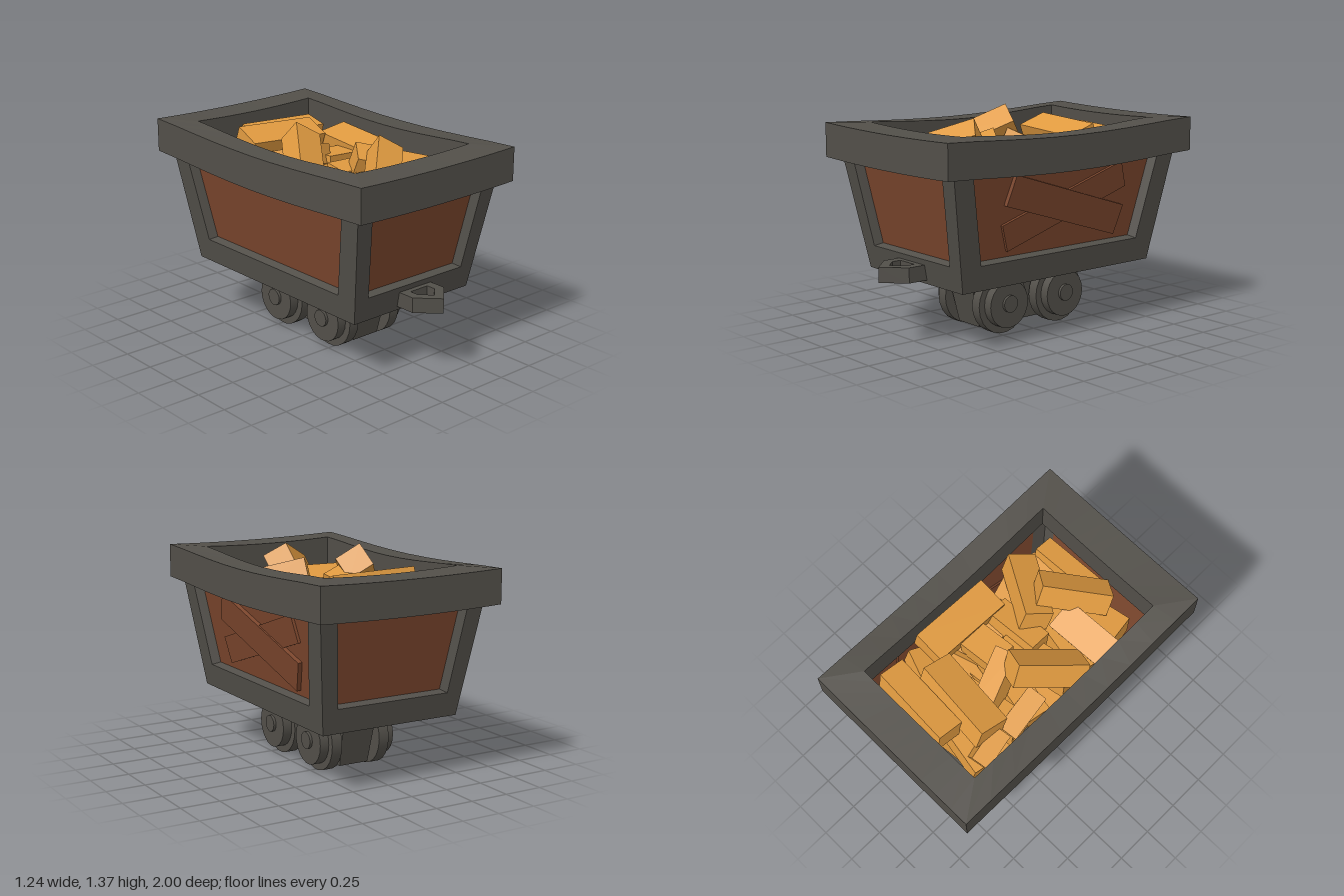
import * as THREE from 'three';

const mat = (name, color, side = THREE.FrontSide) => {
  const m = new THREE.MeshStandardMaterial({ color, side });
  m.name = name;
  return m;
};
const lerp = THREE.MathUtils.lerp;

// Flat quads joining successive closed loops of points
function strip(loops) {
  const pos = [];
  for (let k = 0; k < loops.length - 1; k++) {
    const a = loops[k], b = loops[k + 1], n = a.length;
    for (let i = 0; i < n; i++) {
      const j = (i + 1) % n;
      pos.push(...a[i], ...a[j], ...b[j], ...a[i], ...b[j], ...b[i]);
    }
  }
  const g = new THREE.BufferGeometry();
  g.setAttribute('position', new THREE.Float32BufferAttribute(pos, 3));
  g.computeVertexNormals();
  return g;
}

// Box whose bottom is narrower than its top
function taperedBox(w, h, d, sx, sz) {
  const g = new THREE.BoxGeometry(w, h, d).toNonIndexed();
  const p = g.attributes.position;
  for (let i = 0; i < p.count; i++) {
    if (p.getY(i) < 0) p.setXYZ(i, p.getX(i) * sx, p.getY(i), p.getZ(i) * sz);
  }
  g.computeVertexNormals();
  return g;
}

export function createModel() {
  const root = new THREE.Group();
  root.name = 'mineCart';
  const iron = mat('dark iron', 0x524f49);
  const wood = mat('brown wood', 0x7b462d, THREE.DoubleSide);
  const timber = mat('orange timber', 0xe09a40);
  const add = (parent, name, geo, material, x = 0, y = 0, z = 0) => {
    const m = new THREE.Mesh(geo, material);
    m.name = name;
    m.position.set(x, y, z);
    parent.add(m);
    return m;
  };

  // Sloping tub: four framed walls with recessed wooden panels
  const tub = new THREE.Group();
  tub.name = 'tub';
  tub.position.z = -0.02;
  root.add(tub);
  const y0 = 0.38, y1 = 1.12;
  function wall(name, half, dist, win, turn) {
    const at = (a, y, depth) => [a, y, lerp(dist[0], dist[1], (y - y0) / (y1 - y0)) - depth];
    const ring = (b, t, yb, yt, d) => [at(-b, yb, d), at(b, yb, d), at(t, yt, d), at(-t, yt, d)];
    const panel = ring(win[0] - 0.022, win[1] - 0.022, 0.55, y1, 0.055);
    const g = new THREE.Group();
    g.name = name;
    g.rotation.y = turn;
    add(g, 'wallFrame', strip([
      ring(half[0], half[1], y0, y1, 0),
      ring(win[0], win[1], 0.535, y1, 0),
      panel,
      ring(half[0] - 0.06, half[1] - 0.06, 0.42, y1, 0.065),
    ]), iron);
    const [a, b, c, d] = panel;
    const pg = new THREE.BufferGeometry();
    pg.setAttribute('position', new THREE.Float32BufferAttribute([...a, ...b, ...c, ...a, ...c, ...d], 3));
    pg.computeVertexNormals();
    add(g, 'woodPanel', pg, wood);
    tub.add(g);
  }
  const hx = [0.47, 0.567], hz = [0.755, 0.89];
  wall('frontWall', hx, hz, [0.385, 0.455], 0);
  wall('backWall', hx, hz, [0.385, 0.455], Math.PI);
  wall('leftWall', hz, hx, [0.633, 0.752], Math.PI / 2);
  wall('rightWall', hz, hx, [0.633, 0.752], -Math.PI / 2);
  add(tub, 'floor', new THREE.BoxGeometry(0.94, 0.04, 1.51), iron, 0, 0.4, 0);

  // Crossed repair boards on the left panel
  const slope = Math.atan((hx[1] - hx[0]) / (y1 - y0));
  const boards = new THREE.Group();
  boards.name = 'crossedBoards';
  boards.position.set(0.475, 0.82, -0.05);
  boards.rotation.z = -slope;
  root.add(boards);
  add(boards, 'boardOver', new THREE.BoxGeometry(0.03, 0.195, 0.95), wood, 0.01).rotation.x = -0.31;
  add(boards, 'boardUnder', new THREE.BoxGeometry(0.03, 0.175, 0.98), wood, 0).rotation.x = 0.316;

  // Heavy rim, sagging toward the middle of each side
  const corners = [[-1, 1], [1, 1], [1, -1], [-1, -1]];
  const rimLoop = (w, d, y) => {
    const pts = [];
    corners.forEach((c, i) => {
      const n = corners[(i + 1) % 4];
      for (let s = 0; s < 10; s++) {
        const u = lerp(c[0], n[0], s / 10), v = lerp(c[1], n[1], s / 10);
        const sag = 0.035 * (1 - v * v) ** 1.5 + 0.012 * (1 - u * u);
        pts.push([u * w, y - sag, v * d - 0.025]);
      }
    });
    return pts;
  };
  const low = rimLoop(0.46, 0.75, 1.085), high = rimLoop(0.46, 0.75, 1.3);
  add(root, 'rim', strip([low, rimLoop(0.62, 0.975, 1.085), rimLoop(0.62, 0.975, 1.3), high, low]), iron);

  // Pointed coupling ring at the front
  const link = new THREE.Shape([[-0.13, 0.72], [0.13, 0.72], [0.13, 0.87], [0, 1], [-0.13, 0.87]]
    .map(p => new THREE.Vector2(...p)));
  link.holes.push(new THREE.Path([[-0.07, 0.79], [-0.07, 0.85], [0, 0.92], [0.07, 0.85], [0.07, 0.79]]
    .map(p => new THREE.Vector2(...p))));
  add(root, 'coupling', new THREE.ExtrudeGeometry(link, { depth: 0.095, bevelEnabled: false })
    .rotateX(Math.PI / 2), iron, 0, 0.5, 0);

  // Undercarriage block, axles and flanged wheels
  add(root, 'undercarriage', taperedBox(0.235, 0.35, 0.845, 0.86, 0.8), iron, 0, 0.21, -0.02);
  const disc = (r, w) => new THREE.CylinderGeometry(r, r, w, 22).rotateZ(Math.PI / 2);
  for (const z of [0.21, -0.25]) {
    add(root, 'axle', disc(0.054, 0.565), iron, 0, 0.2, z);
    for (const s of [-1, 1]) {
      add(root, 'wheelFlange', disc(0.192, 0.07), iron, s * 0.17, 0.192, z);
      add(root, 'wheelTread', disc(0.15, 0.06), iron, s * 0.235, 0.195, z);
    }
  }

  // Load of squared timbers: start, end, width, height, roll
  const load = new THREE.Group();
  load.name = 'timberLoad';
  root.add(load);
  const log = (a, b, w = 0.17, h = 0.15, roll = 0) => {
    const from = new THREE.Vector3(...a), to = new THREE.Vector3(...b);
    const m = add(load, 'timber', new THREE.BoxGeometry(w, h, from.distanceTo(to)), timber);
    m.position.copy(from).lerp(to, 0.5);
    m.lookAt(to);
    m.rotateZ(roll);
  };
  // lower layers
  for (let i = 0; i < 6; i++) {
    const z = -0.58 + i * 0.22, t = 0.04 * (i % 2 ? 1 : -1);
    log([-0.38, 0.78, z - t], [0.38, 0.8, z + t], 0.19, 0.18);
    log([-0.38, 0.95 + t, z + t], [0.1, 0.97, z - t], 0.17, 0.16, 0.1);
    log([0.12, 0.94, z - t], [0.38, 0.96, z + t], 0.16, 0.15, -0.1);
  }
  // top layer
  log([-0.38, 1.08, 0.2], [-0.13, 1.27, -0.15], 0.18, 0.16, 0.6);
  log([-0.18, 1.1, 0.64], [0.13, 1.24, 0.34], 0.17, 0.15, 0.55);
  log([0.0, 1.17, 0.2], [0.39, 1.06, 0.44], 0.18, 0.15, 0.35);
  log([0.34, 1.13, -0.39], [0.34, 1.08, 0.15], 0.21, 0.15, 0.15);
  log([-0.31, 1.17, -0.49], [0.23, 1.15, -0.44], 0.2, 0.16, 0.35);
  log([-0.14, 1.14, -0.67], [0.4, 1.12, -0.64], 0.17, 0.15, 0.2);
  log([-0.45, 1.06, 0.39], [-0.05, 1.07, 0.37], 0.2, 0.15, -0.3);
  log([-0.08, 1.04, 0.63], [0.36, 1.02, 0.62], 0.13, 0.13, 0.2);
  log([-0.1, 1.06, 0.13], [0.26, 1.04, 0.11], 0.15, 0.14, 0.2);
  log([-0.02, 1.08, -0.1], [0.24, 1.06, -0.12], 0.19, 0.14);
  log([-0.34, 1.02, -0.4], [-0.3, 1.06, -0.1], 0.13, 0.14, 0.2);
  log([-0.14, 1.05, -0.38], [-0.02, 1.16, -0.05], 0.14, 0.13, -0.3);
  log([-0.35, 1.03, -0.65], [-0.31, 1.07, -0.42], 0.12, 0.13, 0.4);
  log([0.2, 1.02, -0.5], [0.42, 1.02, -0.42], 0.13, 0.13, 0.3);
  return root;
}
